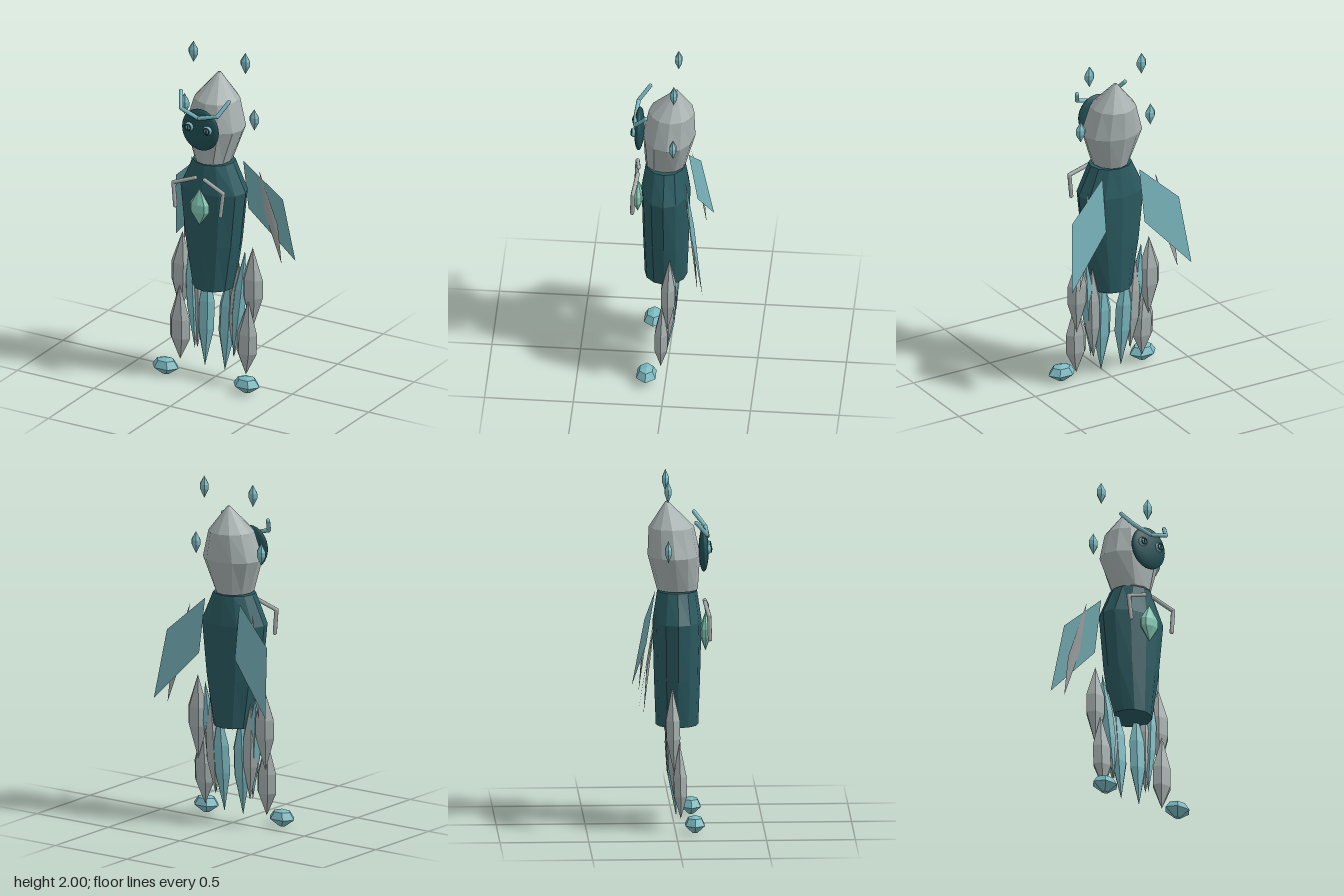
import * as THREE from 'three';

const mat = (name, color, side = THREE.FrontSide) => {
  const m = new THREE.MeshStandardMaterial({ color, side });
  m.name = name;
  return m;
};

// Faceted solid through elliptical rings [y, cx, cz, rx, rz], bottom to top
function loft(rings, sides) {
  const first = rings[0], last = rings[rings.length - 1];
  const all = [[...first.slice(0, 3), 0, 0], ...rings, [...last.slice(0, 3), 0, 0]];
  const pos = [], index = [];
  for (const [y, cx, cz, rx, rz] of all) {
    for (let i = 0; i < sides; i++) {
      const a = (i / sides) * Math.PI * 2;
      pos.push(cx + Math.cos(a) * rx, y, cz + Math.sin(a) * rz);
    }
  }
  for (let r = 0; r < all.length - 1; r++) {
    for (let i = 0; i < sides; i++) {
      const j = (i + 1) % sides;
      const a = r * sides + i, b = r * sides + j, c = b + sides, d = a + sides;
      index.push(a, d, c, a, c, b);
    }
  }
  const g = new THREE.BufferGeometry();
  g.setAttribute('position', new THREE.Float32BufferAttribute(pos, 3));
  g.setIndex(index);
  const flat = g.toNonIndexed();
  flat.computeVertexNormals();
  return flat;
}

// Shard between two points, full width between heights lo and hi (0..1 from the bottom)
function shard(bottom, top, rx, rz, lo = 0.4, hi = 0.6, sides = 6) {
  const ring = (t, k) => {
    const p = bottom.map((v, i) => v + (top[i] - v) * t);
    return [p[1], p[0], p[2], rx * k, rz * k];
  };
  return loft([ring(0, 0), ring(lo, 1), ring(hi, 1), ring(1, 0)], sides);
}

// Flat four-cornered sheet
function sheet(points) {
  const g = new THREE.BufferGeometry();
  g.setAttribute('position', new THREE.Float32BufferAttribute(points.flat(), 3));
  g.setIndex([0, 1, 2, 0, 2, 3]);
  g.computeVertexNormals();
  return g;
}

// Bent rod with rounded ends
function rod(points, radius) {
  const group = new THREE.Group();
  const path = new THREE.CurvePath();
  const v = points.map((p) => new THREE.Vector3(...p));
  for (let i = 0; i < v.length - 1; i++) path.add(new THREE.LineCurve3(v[i], v[i + 1]));
  return { group, v, path, radius };
}

export function createModel() {
  const model = new THREE.Group();
  model.name = 'crystalMoth';

  const dark = mat('darkTeal', 0x2a5a60);
  const face = mat('deepTeal', 0x1f4d52);
  const teal = mat('paleTeal', 0x7bbac2);
  const wingTeal = mat('wingTeal', 0x74b0b7, THREE.DoubleSide);
  const grey = mat('stoneGrey', 0xa6b0af);
  const wingGrey = mat('wingGrey', 0xa0a6a4, THREE.DoubleSide);
  const green = mat('gemGreen', 0x84c9b5);

  const add = (name, geometry, material) => {
    const m = new THREE.Mesh(geometry, material);
    m.name = name;
    model.add(m);
    return m;
  };

  const addRod = (name, points, radius, material) => {
    const { group, v } = rod(points, radius);
    group.name = name;
    v.forEach((p, i) => {
      const joint = new THREE.Mesh(new THREE.SphereGeometry(radius, 8, 6), material);
      joint.name = 'joint';
      joint.position.copy(p);
      group.add(joint);
      if (i === 0) return;
      const segment = new THREE.Mesh(
        new THREE.TubeGeometry(new THREE.LineCurve3(v[i - 1], p), 1, radius, 8), material);
      segment.name = 'segment';
      group.add(segment);
    });
    model.add(group);
  };

  // Body and hood
  add('body', loft([
    [0.57, 0, 0.018, 0.12, 0.12],
    [0.85, 0, 0.018, 0.17, 0.13],
    [1.17, 0, 0.018, 0.206, 0.138],
    [1.34, 0, 0.018, 0.125, 0.112],
  ], 12), dark);
  add('hood', loft([
    [1.345, 0, 0.02, 0.105, 0.115],
    [1.545, 0, 0, 0.178, 0.148],
    [1.705, 0, -0.014, 0.13, 0.128],
    [1.85, 0, -0.04, 0.008, 0.008],
  ], 12), grey);

  // Flattened face
  const head = add('face', new THREE.SphereGeometry(1, 24, 16), face);
  head.scale.set(0.12, 0.125, 0.028);
  head.position.set(0, 1.57, 0.168);

  // Chest gem
  add('chestGem', shard([0, 0.99, 0.178], [0, 1.215, 0.178], 0.062, 0.032, 0.38, 0.58, 8), green);

  for (const s of [1, -1]) {
    const side = s > 0 ? 'left' : 'right';
    const at = (x, y, z) => [s * x, y, z];

    // Eyes with slit pupils
    const eye = add(side + 'Eye', new THREE.SphereGeometry(1, 16, 12), teal);
    eye.scale.set(0.029, 0.027, 0.016);
    eye.position.set(s * 0.06, 1.585, 0.194);
    const iris = add(side + 'Iris', new THREE.TorusGeometry(0.018, 0.004, 6, 16), face);
    iris.position.set(s * 0.06, 1.585, 0.207);
    const pupil = add(side + 'Pupil', new THREE.SphereGeometry(1, 8, 8), face);
    pupil.scale.set(0.004, 0.015, 0.004);
    pupil.position.set(s * 0.06, 1.585, 0.21);

    // Antennae and folded arms
    addRod(side + 'Antenna', [at(0.005, 1.648, 0.19), at(0.118, 1.68, 0.182), at(0.157, 1.755, 0.12)], 0.012, teal);
    addRod(side + 'Arm', [at(0.03, 1.272, 0.175), at(0.163, 1.222, 0.192), at(0.148, 1.085, 0.197)], 0.012, grey);

    // Wings with a narrow inner feather
    add(side + 'Wing', sheet([
      at(0.12, 1.31, -0.1), at(0.35, 1.1, -0.15), at(0.39, 0.71, -0.22), at(0.125, 1.0, -0.15),
    ]), wingTeal);
    add(side + 'Feather', sheet([
      at(0.22, 1.265, -0.108), at(0.305, 0.93, -0.168), at(0.32, 0.69, -0.185), at(0.225, 0.98, -0.162),
    ]), wingGrey);

    // Hanging shards
    add(side + 'UpperLegShard', shard(at(0.235, 0.34, -0.01), at(0.23, 0.83, -0.02), 0.066, 0.045, 0.4, 0.62), grey);
    add(side + 'LowerLegShard', shard(at(0.215, 0.07, 0.03), at(0.225, 0.52, 0.02), 0.065, 0.042, 0.3, 0.55), grey);
    add(side + 'OuterSkirtShard', shard(at(0.125, 0.15, 0.02), at(0.18, 0.8, -0.02), 0.04, 0.035, 0.4, 0.65), teal);
    add(side + 'GreySkirtShard', shard(at(0.12, 0.15, 0), at(0.14, 0.72, -0.02), 0.05, 0.035, 0.35, 0.65), grey);
    add(side + 'InnerSkirtShard', shard(at(0.065, 0.055, 0.01), at(0.075, 0.66, -0.03), 0.054, 0.036, 0.38, 0.65), teal);

    // Feet
    add(side + 'Foot', loft([
      [0, s * 0.265, 0.107, 0.02, 0.015],
      [0.045, s * 0.265, 0.107, 0.085, 0.063],
      [0.085, s * 0.265, 0.107, 0.055, 0.042],
      [0.1, s * 0.265, 0.107, 0, 0],
    ], 6), teal);

    // Floating crystals
    for (const [name, x, y] of [['Upper', 0.17, 1.935], ['Lower', 0.228, 1.603]]) {
      add(side + name + 'FloatingCrystal',
        shard(at(x, y - 0.065, -0.04), at(x, y + 0.065, -0.04), 0.031, 0.022, 0.42, 0.62), teal);
    }
  }
  return model;
}
